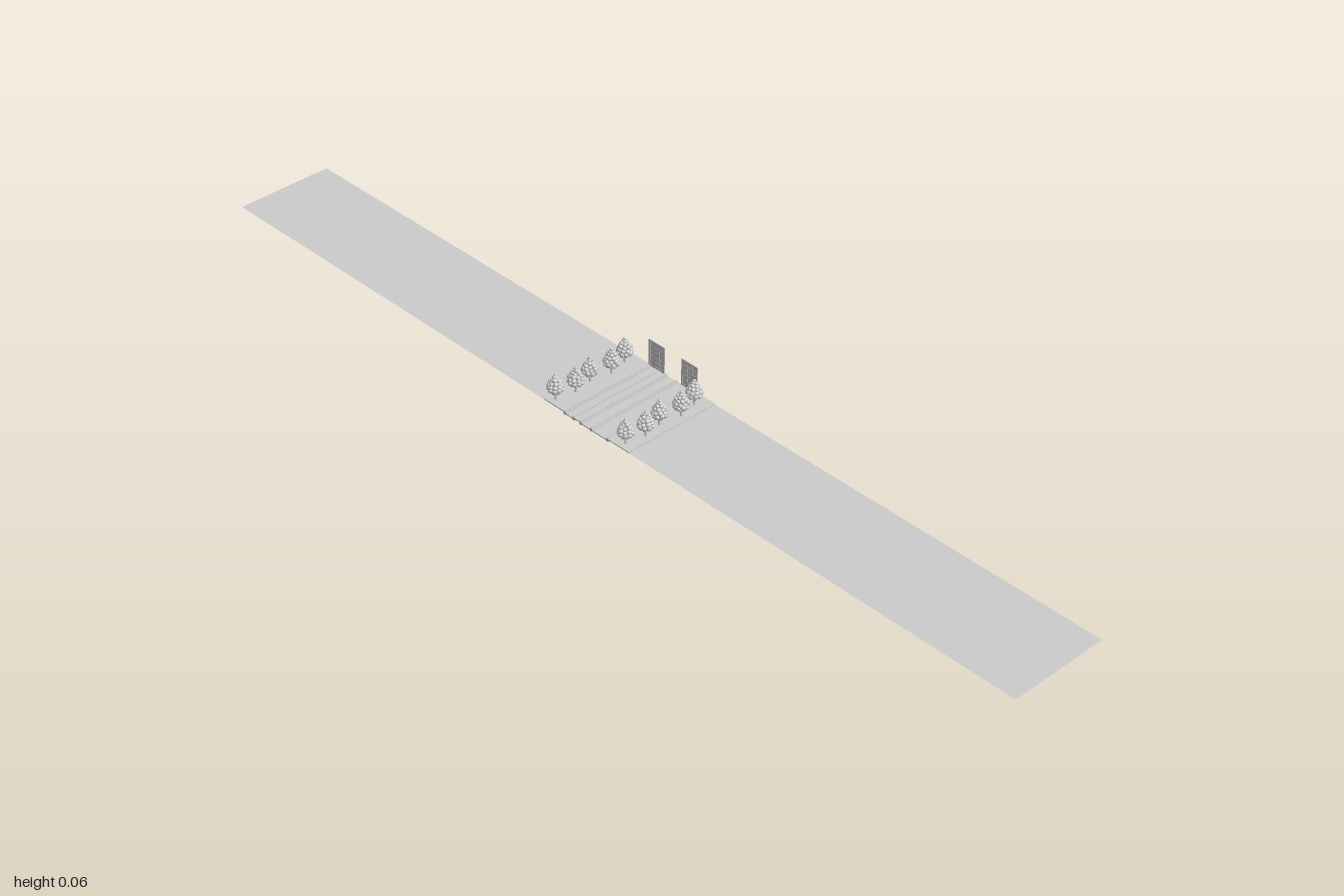
import * as THREE from 'three';
import { mergeGeometries } from 'three/addons/utils/BufferGeometryUtils.js';

const WIDTH = 0.212;
const material = new THREE.MeshStandardMaterial({ color: 0xcccccc, side: THREE.DoubleSide });
const leafMaterial = new THREE.MeshStandardMaterial({ color: 0xcccccc, flatShading: true });

function part(parent, name, geometry, x = 0, y = 0, z = 0, mat = material) {
  const mesh = new THREE.Mesh(geometry, mat);
  mesh.name = name;
  mesh.position.set(x, y, z);
  parent.add(mesh);
  return mesh;
}

// Crown made of rings of leafy clumps, narrowing to a point
function crownGeometry() {
  const clumps = [];
  const add = (x, y, z, r) => clumps.push(new THREE.IcosahedronGeometry(r, 1).translate(x, y, z));
  const rings = [ // height, ring radius, clump radius, count
    [0.019, 0.0085, 0.0045, 7],
    [0.024, 0.0120, 0.0048, 9],
    [0.030, 0.0110, 0.0048, 8],
    [0.036, 0.0085, 0.0046, 7],
    [0.042, 0.0055, 0.0042, 5],
    [0.047, 0.0025, 0.0038, 3],
  ];
  rings.forEach(([y, ring, r, count], level) => {
    for (let i = 0; i < count; i++) {
      const a = (i + level * 0.5) / count * Math.PI * 2;
      const wobble = Math.sin(i * 2.7 + level * 1.9);
      add(Math.cos(a) * ring, y + wobble * 0.001, Math.sin(a) * ring, r * (1 + wobble * 0.1));
    }
  });
  add(0, 0.0518, 0, 0.0032);
  add(0, 0.026, 0, 0.0105);
  add(0, 0.036, 0, 0.0075);
  return mergeGeometries(clumps);
}

function buildTree(crown, trunk) {
  const tree = new THREE.Group();
  tree.name = 'tree';
  part(tree, 'trunk', trunk, 0, 0.01, 0);
  part(tree, 'crown', crown, 0, 0, 0, leafMaterial);
  // Two short boughs reaching into the crown
  for (const side of [-1, 1]) {
    const bough = part(tree, 'bough', new THREE.CylinderGeometry(0.0006, 0.001, 0.01, 6), side * 0.003, 0.014, 0);
    bough.rotation.z = -side * 0.7;
  }
  return tree;
}

// Upright facade panel: thin plate with a raised lattice of window openings
function buildPanel() {
  const panel = new THREE.Group();
  panel.name = 'facadePanel';
  const w = 0.041, h = 0.057;
  part(panel, 'plate', new THREE.BoxGeometry(0.0008, h, w), 0, h / 2, 0);
  const face = new THREE.Shape();
  face.moveTo(-w / 2, 0).lineTo(w / 2, 0).lineTo(w / 2, h).lineTo(-w / 2, h).closePath();
  for (let row = 0; row < 5; row++) {
    for (let col = -1; col <= 1; col++) {
      const x = col * 0.0125, y = 0.004 + row * 0.0104, hw = 0.004, hh = 0.0075;
      const hole = new THREE.Path();
      hole.moveTo(x - hw, y).lineTo(x - hw, y + hh).lineTo(x + hw, y + hh).lineTo(x + hw, y).closePath();
      face.holes.push(hole);
    }
  }
  const lattice = new THREE.ExtrudeGeometry(face, { depth: 0.002, bevelEnabled: false });
  lattice.translate(0, 0, -0.001).rotateY(Math.PI / 2);
  part(panel, 'windowLattice', lattice);
  return panel;
}

export function createModel() {
  const model = new THREE.Group();
  model.name = 'streetSection';

  // Long flat land on both sides of the street
  for (const side of [-1, 1]) {
    const land = new THREE.PlaneGeometry(WIDTH, 0.89).rotateX(-Math.PI / 2);
    part(model, 'land', land, 0, 0.005, side * 0.555);
  }

  // Lanes between kerbs: [from z, to z, height]
  const lanes = [
    [-0.110, -0.058, 0.007], [-0.058, -0.034, 0.004], [-0.034, -0.016, 0.006],
    [-0.016, 0.011, 0.004], [0.011, 0.053, 0.004], [0.053, 0.110, 0.007],
  ];
  for (const [a, b, top] of lanes) {
    part(model, 'lane', new THREE.BoxGeometry(WIDTH, 0.002, b - a), 0, top - 0.001, (a + b) / 2);
  }

  // Kerbs standing along the lane borders
  for (const z of [-0.058, -0.034, -0.016, 0.011, 0.053]) {
    part(model, 'kerb', new THREE.BoxGeometry(WIDTH, 0.008, 0.003), 0, 0.004, z);
    part(model, 'gutter', new THREE.BoxGeometry(WIDTH, 0.005, 0.003), 0, 0.0035, z + 0.003);
  }

  // A row of five staggered trees on each pavement
  const crown = crownGeometry();
  const trunk = new THREE.CylinderGeometry(0.0016, 0.0024, 0.02, 8);
  const treeX = [-0.092, -0.051, -0.010, 0.036, 0.077];
  const rows = [[-0.096, -0.087, -0.094, -0.086, -0.095], [0.087, 0.095, 0.087, 0.095, 0.086]];
  rows.forEach((row, r) => row.forEach((z, i) => {
    const tree = buildTree(crown, trunk);
    tree.position.set(treeX[i], 0.0075, z);
    tree.rotation.y = i * 1.3 + r * 0.7;
    model.add(tree);
  }));

  // Two facade panels at the left end of the street
  for (const z of [-0.040, 0.045]) {
    const panel = buildPanel();
    panel.position.set(0.105, 0.006, z);
    model.add(panel);
  }
  return model;
}
